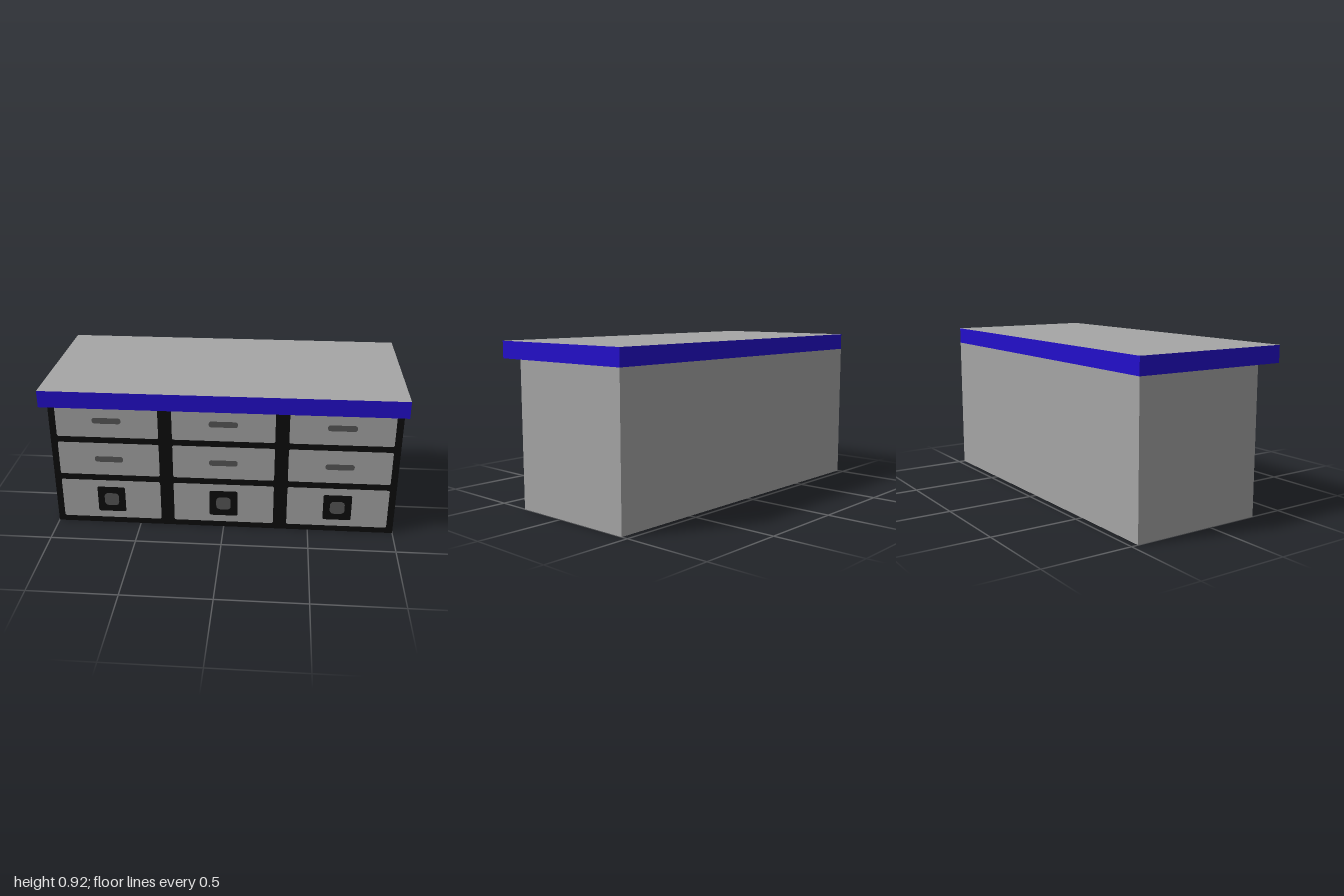
import * as THREE from 'three';

const paint = (name, color) => {
  const m = new THREE.MeshStandardMaterial({ color });
  m.name = name;
  return m;
};

// Flat rounded rectangle centred on the origin, facing +z
function roundedPlate(w, h, r) {
  const x = w / 2, y = h / 2;
  const s = new THREE.Shape();
  s.moveTo(-x + r, -y);
  s.lineTo(x - r, -y);
  s.absarc(x - r, -y + r, r, -Math.PI / 2, 0);
  s.absarc(x - r, y - r, r, 0, Math.PI / 2);
  s.absarc(-x + r, y - r, r, Math.PI / 2, Math.PI);
  s.absarc(-x + r, -y + r, r, Math.PI, Math.PI * 1.5);
  return new THREE.ShapeGeometry(s, 4);
}

export function createModel() {
  const grey = paint('cabinet grey', 0xa6a6a6);
  const blue = paint('worktop blue', 0x230ecc);
  const black = paint('frame black', 0x0d0d0d);
  const dark = paint('handle grey', 0x575757);

  const model = new THREE.Group();
  model.name = 'drawerCounter';

  const add = (parent, name, geometry, material, x, y, z) => {
    const mesh = new THREE.Mesh(geometry, material);
    mesh.name = name;
    mesh.position.set(x, y, z);
    parent.add(mesh);
    return mesh;
  };

  // Sizes
  const back = -0.461, bodyFront = 0.306, topFront = 0.461;
  const bodyHeight = 0.82, height = 0.916;

  // Cabinet body with a black front frame (sides: +x, -x, +y, -y, +z, -z)
  add(model, 'cabinetBody',
    new THREE.BoxGeometry(2, bodyHeight, bodyFront - back),
    [grey, grey, grey, grey, black, grey],
    0, bodyHeight / 2, (bodyFront + back) / 2);

  // Overhanging worktop: blue edges and underside, grey surface
  add(model, 'worktop',
    new THREE.BoxGeometry(2, height - bodyHeight, topFront - back),
    [blue, blue, grey, blue, blue, blue],
    0, (height + bodyHeight) / 2, (topFront + back) / 2);

  // Drawers: three columns of two handled drawers over one deep drawer
  const rows = [
    { name: 'upperDrawer', y: 0.674, h: 0.204, handleY: 0.677 },
    { name: 'middleDrawer', y: 0.431, h: 0.208, handleY: 0.431 },
    { name: 'lowerDrawer', y: 0.163, h: 0.252, knobY: 0.163 },
  ];
  for (const x of [-0.667, 0, 0.667]) {
    for (const row of rows) {
      const drawer = new THREE.Group();
      drawer.name = row.name;
      model.add(drawer);
      add(drawer, 'drawerFront', roundedPlate(0.588, row.h, 0.01), grey, x, row.y, bodyFront + 0.002);
      if (row.handleY) {
        add(drawer, 'handle', roundedPlate(0.165, 0.036, 0.015), dark, x, row.handleY, bodyFront + 0.004);
      } else {
        add(drawer, 'knobPlate', roundedPlate(0.165, 0.165, 0.01), black, x, row.knobY, bodyFront + 0.004);
        add(drawer, 'knob', roundedPlate(0.086, 0.082, 0.024), dark, x, row.knobY, bodyFront + 0.006);
      }
    }
  }
  return model;
}
